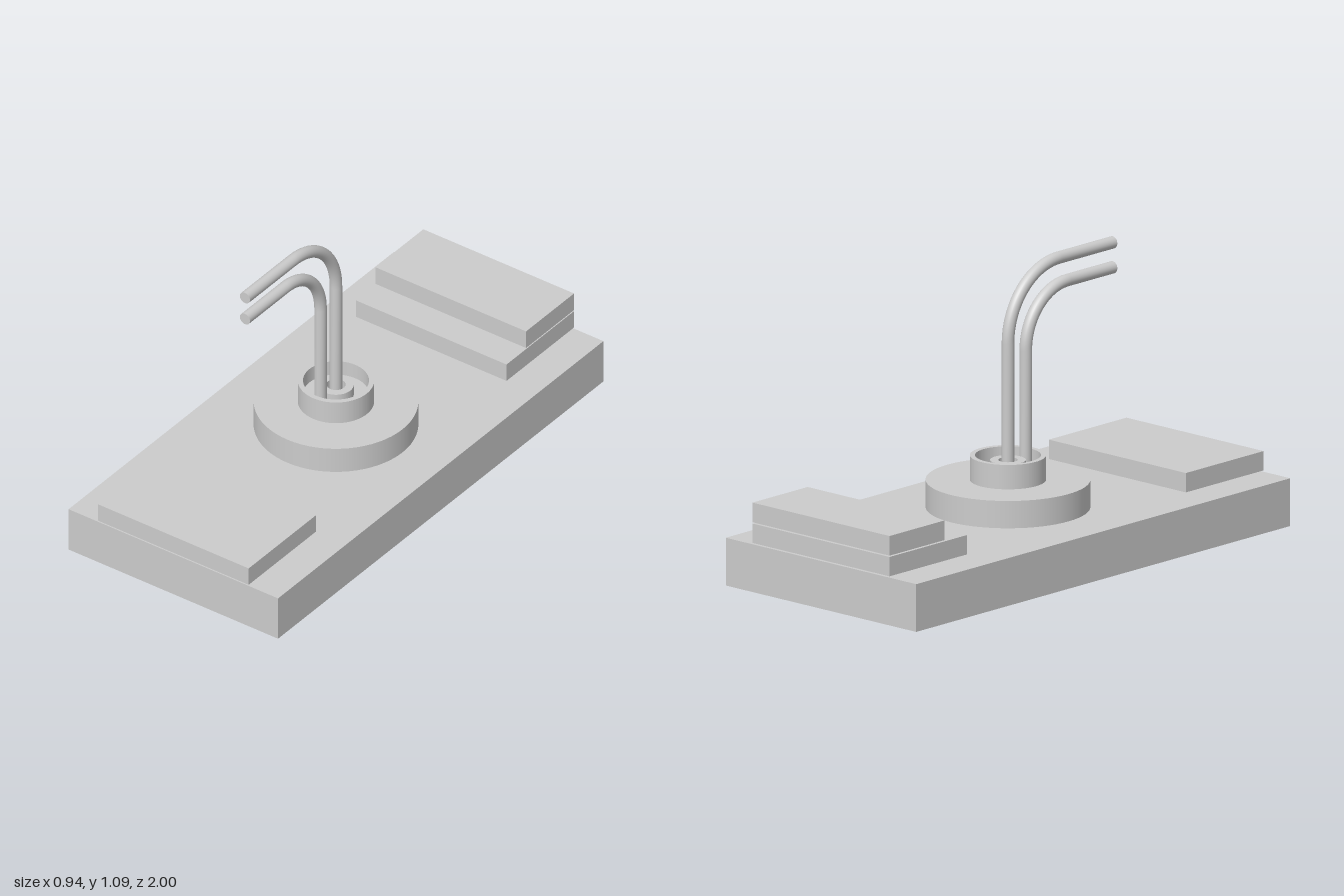
import * as THREE from 'three';

const material = new THREE.MeshStandardMaterial({ color: 0xcccccc });

export function createModel() {
  const model = new THREE.Group();

  const add = (name, geometry) => {
    const mesh = new THREE.Mesh(geometry, material);
    mesh.name = name;
    model.add(mesh);
    return mesh;
  };

  // Box given by its width and its y and z ranges
  const slab = (name, width, y0, y1, z0, z1) =>
    add(name, new THREE.BoxGeometry(width, y1 - y0, z1 - z0))
      .position.set(0, (y0 + y1) / 2, (z0 + z1) / 2);

  // Upright hollow ring with square edges
  const ring = (name, outer, inner, y0, y1) => {
    const shape = new THREE.Shape().absarc(0, 0, outer, 0, Math.PI * 2);
    shape.holes.push(new THREE.Path().absarc(0, 0, inner, 0, Math.PI * 2, true));
    const geometry = new THREE.ExtrudeGeometry(shape, {
      depth: y1 - y0, bevelEnabled: false, curveSegments: 64,
    });
    geometry.rotateX(-Math.PI / 2);
    add(name, geometry).position.y = y0;
  };

  const disc = (name, radius, y0, y1) =>
    add(name, new THREE.CylinderGeometry(radius, radius, y1 - y0, 64))
      .position.set(0, (y0 + y1) / 2, 0);

  // Pipe rising at z, bending forward with radius bend, ending flat at zEnd
  const pipe = (name, z, yTop, bend, zEnd) => {
    const r = 0.023, y0 = 0.3;
    const centres = [[y0, z, 0]];
    for (let i = 0; i <= 24; i++) {
      const a = (i / 24) * Math.PI / 2;
      centres.push([yTop - bend + bend * Math.sin(a), z + bend - bend * Math.cos(a), a]);
    }
    centres.push([yTop, zEnd, Math.PI / 2]);
    // Straight tube whose rings are moved onto the bent path
    const sides = 24, rows = centres.length - 1;
    const geometry = new THREE.CylinderGeometry(r, r, 1, sides, rows, true);
    const pos = geometry.attributes.position;
    for (let i = 0; i < pos.count; i++) {
      const [cy, cz, a] = centres[rows - Math.floor(i / (sides + 1))];
      const across = pos.getZ(i);
      pos.setXYZ(i, pos.getX(i), cy - across * Math.sin(a), cz + across * Math.cos(a));
    }
    geometry.computeVertexNormals();
    add(name, geometry);
    // Flat cap at the open mouth
    add(name + 'End', new THREE.CircleGeometry(r, sides)).position.set(0, yTop, zEnd);
  };

  // Base and end pads
  slab('base', 0.945, 0, 0.18, -1, 1);
  slab('frontPad', 0.68, 0.185, 0.258, 0.585, 1);
  slab('rearPad', 0.68, 0.185, 0.258, -1, -0.585);
  slab('rearUpperPad', 0.68, 0.263, 0.337, -1, -0.705);

  // Central mount with a recessed socket
  disc('mountDisc', 0.3, 0.185, 0.288);
  disc('mountFoot', 0.139, 0.178, 0.2);
  ring('collar', 0.139, 0.12, 0.28, 0.38);
  disc('collarFloor', 0.121, 0.28, 0.32);
  ring('innerSleeve', 0.065, 0.035, 0.31, 0.362);

  // Pair of bent pipes
  pipe('rearPipe', 0, 1.07, 0.27, 0.56);
  pipe('frontPipe', 0.095, 0.976, 0.22, 0.56);

  return model;
}
